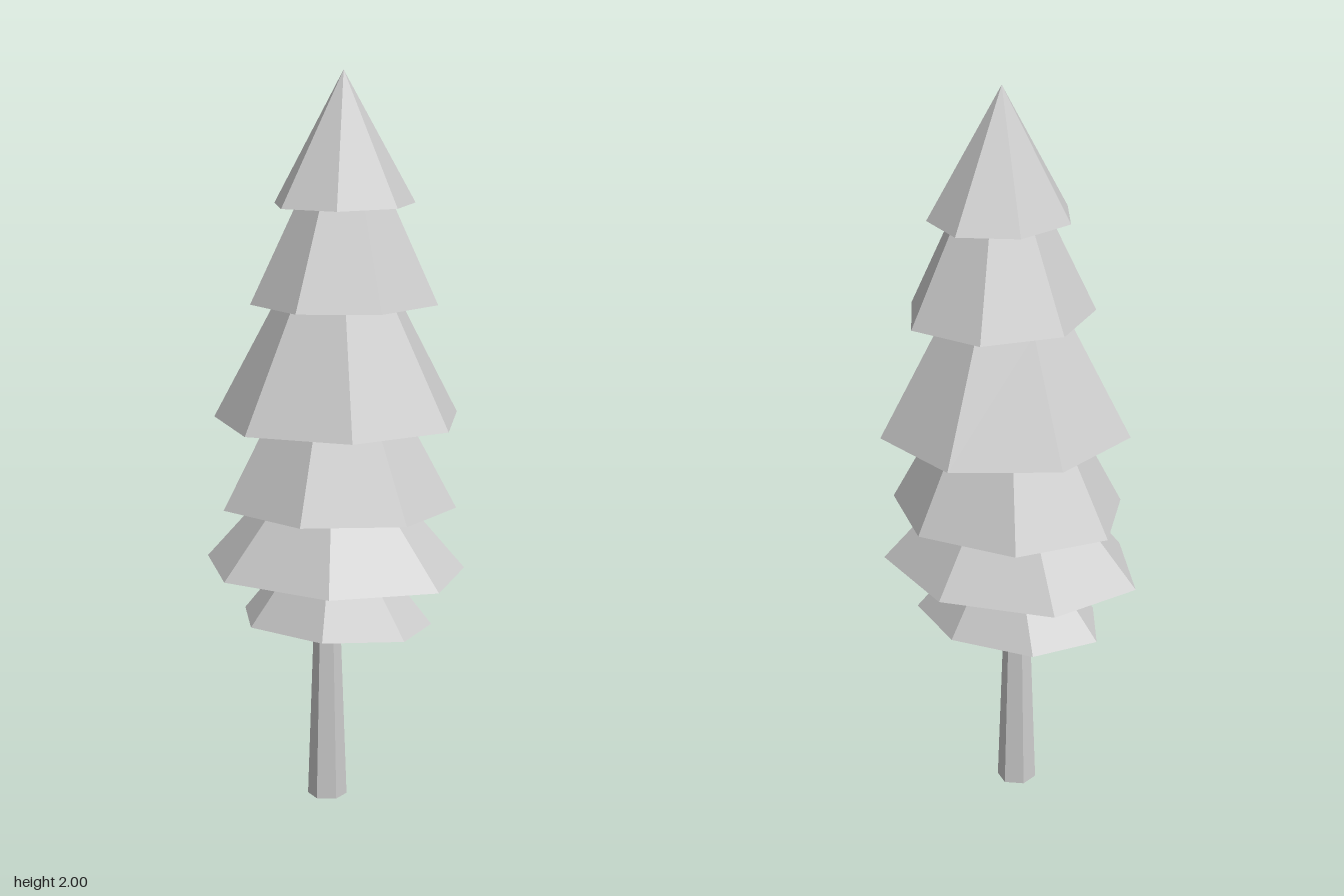
import * as THREE from 'three';

// Tiers from top to bottom: base and top height, centre, base radii,
// top-to-base ratio and the turn of the seven corners.
const TIERS = [
  { y0: 1.65, y1: 2.0, x: 0.022, z: 0.005, rx: 0.186, rz: 0.21, top: 0, turn: -0.08 },
  { y0: 1.39, y1: 1.65, x: 0.024, z: -0.003, rx: 0.25, rz: 0.268, top: 0.52, turn: 0.385 },
  { y0: 1.07, y1: 1.39, x: 0.003, z: -0.003, rx: 0.34, rz: 0.344, top: 0.5, turn: -0.22 },
  { y0: 0.835, y1: 1.07, x: -0.008, z: -0.005, rx: 0.334, rz: 0.3, top: 0.61, turn: 0.224 },
  { y0: 0.66, y1: 0.835, x: 0, z: 0.02, rx: 0.38, rz: 0.314, top: 0.58, turn: 0 },
  { y0: 0.505, y1: 0.66, x: -0.011, z: -0.001, rx: 0.284, rz: 0.215, top: 0.54, turn: 0.124 },
];

// Faceted, tapered prism standing between two heights
function taper(name, sides, p, material) {
  const height = p.y1 - p.y0;
  const geometry = new THREE.CylinderGeometry(p.top, 1, height, sides, 1, false, Math.PI - p.turn);
  geometry.scale(p.rx, 1, p.rz);
  const mesh = new THREE.Mesh(geometry, material);
  mesh.name = name;
  mesh.position.set(p.x, p.y0 + height / 2, p.z);
  return mesh;
}

export function createModel() {
  const grey = new THREE.MeshStandardMaterial({ color: 0xcccccc, flatShading: true });
  grey.name = 'light grey';

  const tree = new THREE.Group();
  tree.name = 'tree';

  // Foliage
  const foliage = new THREE.Group();
  foliage.name = 'foliage';
  TIERS.forEach((tier, i) => foliage.add(taper(i ? `branchTier${i}` : 'treeTop', 7, tier, grey)));
  tree.add(foliage);

  // Trunk
  const trunk = { y0: 0, y1: 0.51, x: -0.034, z: 0, rx: 0.054, rz: 0.054, top: 0.67, turn: 0 };
  tree.add(taper('trunk', 6, trunk, grey));

  return tree;
}
